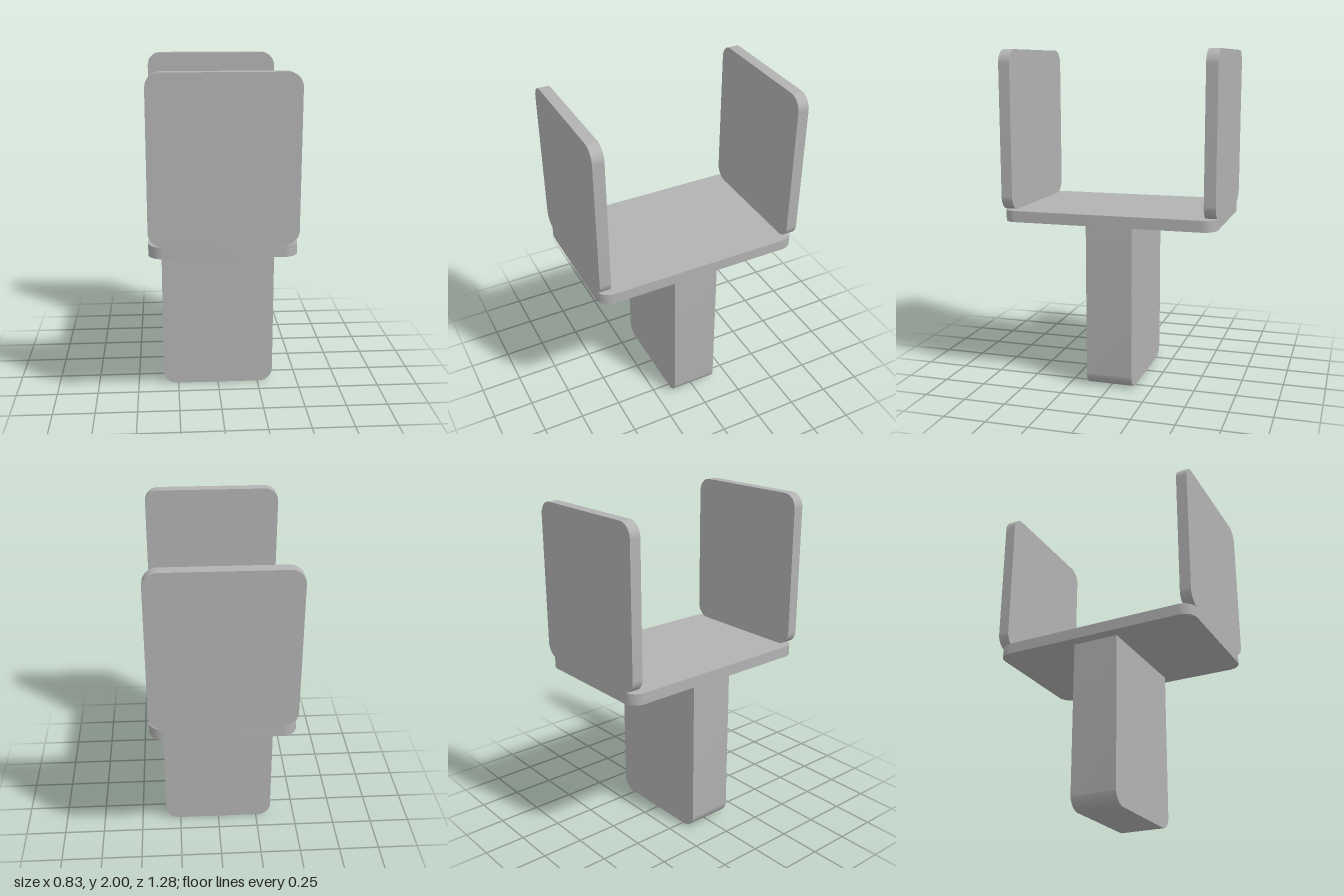
import * as THREE from 'three';
import { toCreasedNormals } from 'three/addons/utils/BufferGeometryUtils.js';

// Rectangle outline with separate radii for the lower and upper corners
function roundedRect(w, h, rLow, rHigh) {
  const x = w / 2, y = h / 2, s = new THREE.Shape();
  s.moveTo(-x + rLow, -y);
  s.lineTo(x - rLow, -y);
  if (rLow) s.absarc(x - rLow, -y + rLow, rLow, -Math.PI / 2, 0, false);
  s.lineTo(x, y - rHigh);
  if (rHigh) s.absarc(x - rHigh, y - rHigh, rHigh, 0, Math.PI / 2, false);
  s.lineTo(-x + rHigh, y);
  if (rHigh) s.absarc(-x + rHigh, y - rHigh, rHigh, Math.PI / 2, Math.PI, false);
  s.lineTo(-x, -y + rLow);
  if (rLow) s.absarc(-x + rLow, -y + rLow, rLow, Math.PI, Math.PI * 1.5, false);
  return s;
}

// Slab centred on the origin, thickness along z
function slab(w, h, depth, rLow, rHigh) {
  const geo = new THREE.ExtrudeGeometry(roundedRect(w, h, rLow, rHigh), {
    depth, bevelEnabled: false, curveSegments: 12,
  });
  geo.translate(0, 0, -depth / 2);
  return toCreasedNormals(geo, Math.PI / 6);
}

export function createModel() {
  const group = new THREE.Group();
  const grey = new THREE.MeshStandardMaterial({ color: 0xb2b2b2 });
  grey.name = 'grey';

  const add = (name, geo, y, z = 0) => {
    const mesh = new THREE.Mesh(geo, grey);
    mesh.name = name;
    mesh.position.set(0, y, z);
    group.add(mesh);
  };

  const width = 0.826, length = 1.278, thick = 0.067, radius = 0.083;
  const plateBottom = 0.995, plateTop = plateBottom + thick;

  // Stem, rounded only at its foot
  add('stem', slab(0.686, plateBottom, 0.28, radius, 0), plateBottom / 2);

  // Horizontal base plate with rounded vertical corners
  add('basePlate', slab(width, length, thick, radius, radius).rotateX(-Math.PI / 2),
    plateBottom + thick / 2);

  // Two upright panels, front and back
  const panelHeight = 2 - plateTop;
  for (const [name, side] of [['frontPanel', 1], ['backPanel', -1]]) {
    add(name, slab(width, panelHeight, thick, radius, radius),
      plateTop + panelHeight / 2, side * (length - thick) / 2);
  }
  return group;
}
